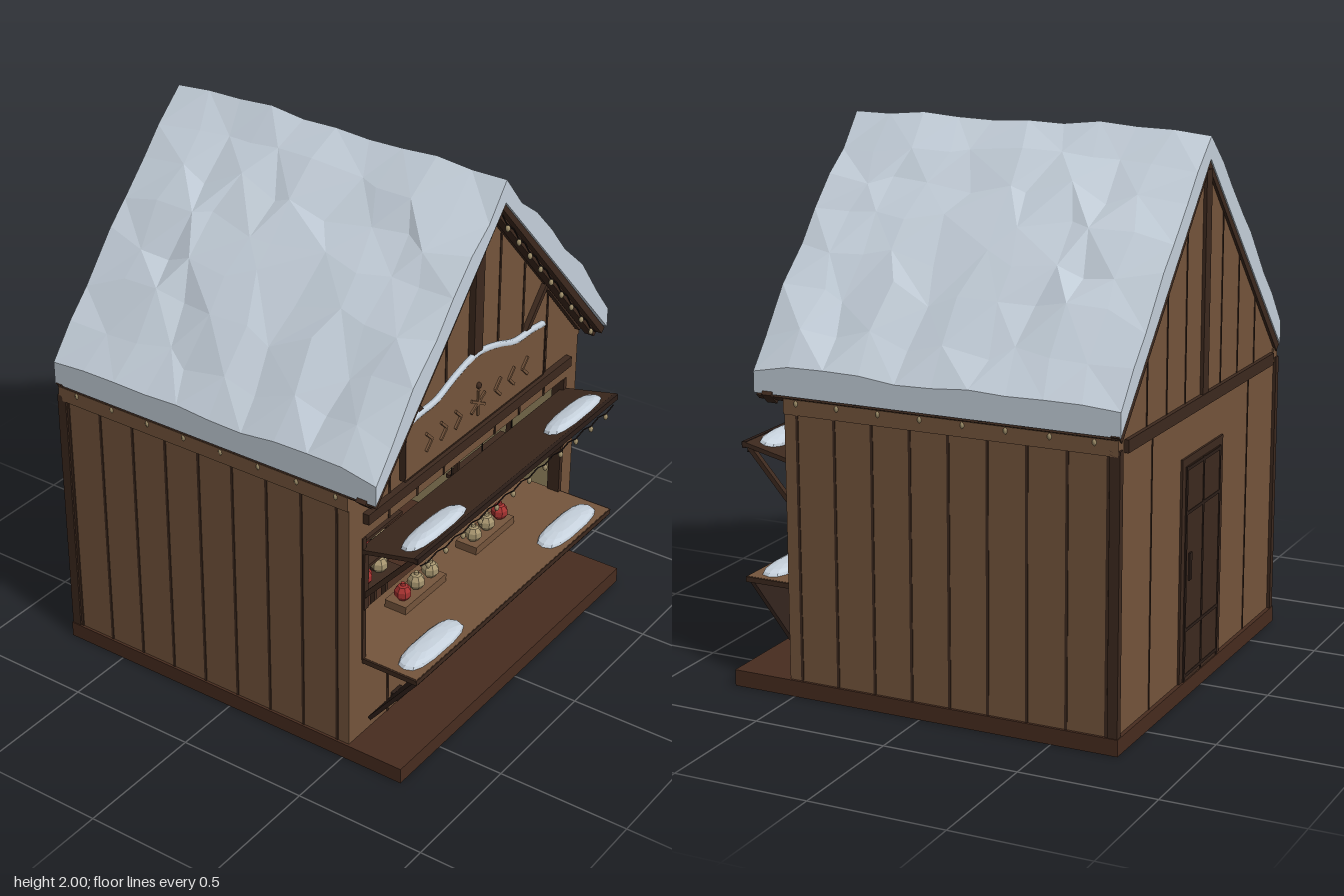
import * as THREE from 'three';

const mat = (name, color, side = THREE.FrontSide) => new THREE.MeshStandardMaterial({ name, color, side });

export function createModel() {
  const root = new THREE.Group();
  root.name = 'marketStall';
  const M = {
    wall: mat('woodBrown', 0x75553c), trim: mat('darkWood', 0x3d291e), black: mat('blackWood', 0x2c1e18),
    base: mat('baseWood', 0x472c1f), cream: mat('creamPanel', 0x9d8e65), red: mat('red', 0xa53230),
    gold: mat('paleGold', 0xa6956f), snow: mat('snow', 0xc6d1dc), wire: mat('wire', 0x1d1513),
  };
  const add = (name, geo, m, x = 0, y = 0, z = 0) => {
    const mesh = new THREE.Mesh(geo, m);
    mesh.name = name;
    mesh.position.set(x, y, z);
    root.add(mesh);
    return mesh;
  };
  // box given by its limits
  const box = (name, m, x0, x1, y0, y1, z0, z1) =>
    add(name, new THREE.BoxGeometry(x1 - x0, y1 - y0, z1 - z0), m, (x0 + x1) / 2, (y0 + y1) / 2, (z0 + z1) / 2);
  // straight bar between two points
  const bar = (name, m, a, b, w, h) => {
    const A = new THREE.Vector3(...a), B = new THREE.Vector3(...b);
    const mesh = add(name, new THREE.BoxGeometry(w, h, A.distanceTo(B)), m, ...A.clone().add(B).multiplyScalar(0.5).toArray());
    mesh.lookAt(B);
    return mesh;
  };
  const flat = (geo) => {
    const g = geo.index ? geo.toNonIndexed() : geo;
    g.computeVertexNormals();
    return g;
  };
  const rnd = (a, b) => {
    const v = Math.sin(a * 127.1 + b * 311.7) * 43758.5453;
    return v - Math.floor(v) - 0.5;
  };
  const roofY = (x) => 1.06 + (0.735 - Math.abs(x)) * 1.1;

  // base and floor
  box('base', M.base, -0.745, 0.745, 0, 0.06, -0.745, 0.745);

  // gable walls; the front one has the serving hatch
  const gable = (hatch) => {
    const s = new THREE.Shape();
    [[-0.735, 0.06], [0.735, 0.06], [0.735, 1.06], [0, 1.87], [-0.735, 1.06]].forEach(([x, y], i) => i ? s.lineTo(x, y) : s.moveTo(x, y));
    if (hatch) {
      const h = new THREE.Path();
      h.moveTo(-0.65, 0.38).lineTo(-0.65, 0.88).lineTo(0.65, 0.88).lineTo(0.65, 0.38);
      s.holes.push(h);
    }
    return new THREE.ExtrudeGeometry(s, { depth: 0.04, bevelEnabled: false });
  };
  add('frontWall', gable(true), M.wall, 0, 0, 0.48);
  add('backWall', gable(false), M.wall, 0, 0, -0.73);
  box('backLining', M.cream, -0.69, 0.69, 0.06, 1.03, -0.689, -0.684);
  box('innerDoor', M.base, -0.17, 0.17, 0.06, 0.84, -0.684, -0.676);

  // side walls with plank grooves, lining and eave bands
  for (const s of [-1, 1]) {
    const side = (name, m, a, b, y0, y1, z0, z1) => box(name, m, Math.min(s * a, s * b), Math.max(s * a, s * b), y0, y1, z0, z1);
    side('sideWall', M.wall, 0.695, 0.735, 0.06, 1.06, -0.7, 0.5);
    side('sideLining', M.cream, 0.689, 0.695, 0.06, 1.03, -0.684, 0.48);
    side('eaveBand', M.wall, 0.7, 0.742, 1.03, 1.085, -0.735, 0.52);
    side('rearCornerPost', M.trim, 0.715, 0.742, 0.06, 1.05, -0.742, -0.705);
    for (let i = 0; i < 9; i++) side('sideGroove', M.trim, 0.733, 0.738, 0.06, 1.03, 0.465 - i * 0.146, 0.475 - i * 0.146);
    // gable plank grooves, front and back
    for (const x of [0.165, 0.33, 0.5]) {
      side('frontGroove', M.trim, x - 0.005, x + 0.005, 0.88, roofY(x), 0.518, 0.523);
      side('frontGroove', M.trim, x - 0.005, x + 0.005, 0.06, 0.38, 0.518, 0.523);
      side('backGroove', M.trim, x - 0.003, x + 0.003, 1.07, roofY(x), -0.733, -0.728);
    }
    side('backGroove', M.trim, 0.446, 0.452, 0.06, 1.04, -0.733, -0.728);
    // roof boards and barge boards
    bar('roofBoards', M.trim, [0, 1.885, -0.055], [s * 0.735, 1.08, -0.055], 1.36, 0.025);
    bar('frontBarge', M.trim, [0, 1.885, 0.58], [s * 0.735, 1.075, 0.58], 0.04, 0.055);
    bar('backBarge', M.trim, [0, 1.89, -0.725], [s * 0.735, 1.085, -0.725], 0.03, 0.035);
    bar('gableBrace', M.trim, [s * 0.33, 1.22, 0.53], [s * 0.46, 1.36, 0.53], 0.02, 0.02);
    bar('gableBrace', M.trim, [s * 0.46, 1.35, 0.54], [s * 0.7, 1.08, 0.54], 0.02, 0.015);
  }

  // king posts and cross beams
  box('frontKingPost', M.trim, -0.027, 0.027, 1.25, 1.86, 0.515, 0.545);
  box('backKingPost', M.trim, -0.025, 0.025, 1.07, 1.86, -0.742, -0.725);
  box('backTieBeam', M.trim, -0.68, 0.68, 1.03, 1.075, -0.745, -0.72);
  box('frontBeam', M.trim, -0.655, 0.655, 0.94, 0.98, 0.515, 0.545);

  // back door
  box('doorFrame', M.trim, -0.19, 0.19, 0.06, 0.88, -0.738, -0.725);
  box('door', M.trim, -0.16, 0.16, 0.06, 0.85, -0.741, -0.73);
  for (const x of [-0.155, 0, 0.155]) box('doorStile', M.black, x - 0.006, x + 0.006, 0.06, 0.85, -0.743, -0.738);
  for (const y of [0.08, 0.25, 0.68, 0.84]) box('doorRail', M.black, -0.16, 0.16, y - 0.006, y + 0.006, -0.743, -0.738);
  box('doorHandle', M.black, 0.11, 0.13, 0.43, 0.53, -0.747, -0.74);

  // snow blanket: faceted cross-sections lofted along z, mirrored about the ridge
  const H = 8, N = 2 * H + 1, R = 10, pos = [], idx = [];
  for (let j = 0; j <= R; j++) for (let layer = 0; layer < 2; layer++) for (let k = 0; k < N; k++) {
    const s = k <= H ? -1 : 1, m = Math.min(k, 2 * H - k), inner = m > 1 && m < H, midZ = j > 0 && j < R;
    let z = -0.745 + 1.38 * j / R, t = Math.max(0, (m - 1) / (H - 1));
    if (inner && midZ) z += rnd(m, j) * 0.09;
    if (inner) t += rnd(m + 20, j) * 0.06;
    const x = s * 0.745 * (1 - t), drop = midZ ? 0 : 0.015;
    let y = 1.19 - drop + 0.795 * t + 0.03 * Math.sin(Math.PI * t) + rnd(m + 40, j) * (inner ? 0.045 : 0.02);
    if (m === H) y = j === 3 ? 2 : 1.985 - drop + rnd(3, j) * 0.02;
    if (layer || m === 0) y = 1.095 + 0.8 * t;
    pos.push(x, y, z);
  }
  const at = (j, layer, k) => (j * 2 + layer) * N + k;
  for (let k = 0; k < N - 1; k++) {
    for (let j = 0; j < R; j++) {
      const [a, b, c, d] = [at(j, 0, k), at(j, 0, k + 1), at(j + 1, 0, k + 1), at(j + 1, 0, k)];
      if ((k < H) === ((j + Math.min(k, 2 * H - 1 - k)) % 2 === 0)) idx.push(a, d, b, b, d, c); else idx.push(a, d, c, a, c, b);
      const [e, f, g, h] = [a + N, b + N, c + N, d + N];
      idx.push(e, f, h, f, g, h);
    }
    const o = at(R, 0, k), q = at(0, 0, k);
    idx.push(o, o + N, o + 1, o + 1, o + N, o + N + 1, q, q + 1, q + N, q + 1, q + N + 1, q + N);
  }
  const snowGeo = new THREE.BufferGeometry();
  snowGeo.setAttribute('position', new THREE.Float32BufferAttribute(pos, 3));
  snowGeo.setIndex(idx);
  add('roofSnow', flat(snowGeo), M.snow);

  // sign board with a wavy top, a snow rim and carved ornaments
  const wave = [[0.445, 1.205], [0.36, 1.215], [0.25, 1.22], [0.13, 1.26], [0, 1.285]];
  const top = [...wave, ...wave.slice(0, -1).reverse().map(([x, y]) => [-x, y])];
  const sign = new THREE.Shape();
  sign.moveTo(-0.445, 1.005).lineTo(0.445, 1.005).lineTo(...top[0]);
  sign.splineThru(top.slice(1).map((p) => new THREE.Vector2(...p)));
  add('signBoard', new THREE.ExtrudeGeometry(sign, { depth: 0.022, bevelEnabled: false }), M.wall, 0, 0, 0.525);
  const rim = new THREE.CatmullRomCurve3(top.map(([x, y]) => new THREE.Vector3(x, y, 0)));
  add('signSnow', new THREE.TubeGeometry(rim, 30, 0.013, 6), M.snow, 0, 0.006, 0.537);
  for (const s of [-1, 1]) {
    box('signEdge', M.trim, s * 0.445 - 0.003, s * 0.445 + 0.003, 1.005, 1.205, 0.525, 0.549);
    for (const x of [0.11, 0.2, 0.29]) for (const d of [-1, 1])
      bar('signChevron', M.wall, [s * x, 1.1, 0.549], [s * (x + 0.035), 1.1 + d * 0.035, 0.549], 0.012, 0.01);
  }
  for (let i = 0; i < 3; i++) {
    const c = 0.05 * Math.cos(i * Math.PI / 3), d = 0.05 * Math.sin(i * Math.PI / 3);
    bar('signStar', M.wall, [-d, 1.1 - c, 0.549], [d, 1.1 + c, 0.549], 0.01, 0.01);
  }
  box('signEdge', M.trim, -0.445, 0.445, 1.001, 1.007, 0.525, 0.549);
  add('signKnob', new THREE.SphereGeometry(0.012, 8, 6), M.trim, 0, 1.17, 0.55);

  // counter, folding front panel, awning and struts
  box('counter', M.wall, -0.65, 0.65, 0.367, 0.384, 0.36, 0.742);
  box('counterEdge', M.trim, -0.655, 0.655, 0.364, 0.383, 0.738, 0.746);
  bar('counterPanel', M.black, [0, 0.36, 0.735], [0, 0.115, 0.535], 1.27, 0.015);
  bar('awning', M.trim, [0, 0.825, 0.51], [0, 0.877, 0.74], 1.32, 0.016);
  box('awningEdge', M.black, -0.66, 0.66, 0.862, 0.885, 0.73, 0.745);
  for (let i = 0; i < 9; i++) bar('awningSlat', M.black, [-0.6 + i * 0.15, 0.812, 0.52], [-0.6 + i * 0.15, 0.862, 0.73], 0.02, 0.012);
  // snow patches: squared-off domes
  const dome = new THREE.SphereGeometry(1, 14, 4, 0, Math.PI * 2, 0, Math.PI / 2);
  const dp = dome.attributes.position;
  for (let i = 0; i < dp.count; i++) dp.setXYZ(i, Math.sign(dp.getX(i)) * Math.abs(dp.getX(i)) ** 0.7, dp.getY(i), Math.sign(dp.getZ(i)) * Math.abs(dp.getZ(i)) ** 0.7);
  const patch = flat(dome);
  for (const s of [-1, 1]) {
    box('counterEnd', M.trim, s * 0.653 - 0.004, s * 0.653 + 0.004, 0.364, 0.383, 0.52, 0.742);
    bar('awningStrut', M.trim, [s * 0.645, 0.865, 0.72], [s * 0.645, 0.64, 0.52], 0.02, 0.018);
    box('strutPlate', M.trim, s * 0.645 - 0.012, s * 0.645 + 0.012, 0.59, 0.82, 0.515, 0.53);
    box('hatchPost', M.trim, s * 0.65 - 0.01, s * 0.65 + 0.01, 0.38, 0.88, 0.475, 0.525);
    box('panelBracket', M.black, s * 0.45 - 0.028, s * 0.45 + 0.028, 0.098, 0.125, 0.52, 0.55);
    const awningSnow = add('awningSnow', patch, M.snow, s * 0.455, 0.868, 0.674);
    awningSnow.scale.set(0.172, 0.03, 0.05);
    awningSnow.rotation.x = -0.22;
    add('counterSnow', patch, M.snow, s * 0.455, 0.383, 0.672).scale.set(0.172, 0.028, 0.055);
  }

  // shelves, trays and boxes
  for (const y of [0.45, 0.57, 0.685]) box('leftShelf', M.trim, -0.62, -0.21, y, y + 0.012, 0.27, 0.38);
  for (const x of [-0.545, -0.285, -0.215]) box('shelfPost', M.trim, x - 0.008, x + 0.008, 0.06, 0.78, 0.3, 0.32);
  box('shelfTop', M.trim, -0.62, -0.21, 0.76, 0.772, 0.29, 0.35);
  box('rightShelf', M.trim, 0.24, 0.62, 0.565, 0.58, 0.27, 0.38);
  box('rightRail', M.trim, 0.24, 0.62, 0.765, 0.775, 0.3, 0.32);
  for (const x of [0.25, 0.615]) box('shelfHanger', M.trim, x - 0.006, x + 0.006, 0.57, 0.88, 0.3, 0.32);
  for (const s of [-1, 1]) box('counterTray', M.wall, s * 0.23 - 0.13, s * 0.23 + 0.13, 0.383, 0.415, 0.41, 0.5);
  for (const x of [-0.47, -0.28, 0.335, 0.47]) box('redBox', M.red, x - 0.05, x + 0.05, 0.4, 0.51, -0.675, -0.6);
  box('backShelf', M.trim, -0.6, -0.2, 0.385, 0.4, -0.684, -0.58);
  box('backShelf', M.trim, 0.2, 0.6, 0.385, 0.4, -0.684, -0.58);
  for (const x of [-0.34, 0.33]) box('woodBox', M.wall, x - 0.045, x + 0.045, 0.58, 0.71, -0.684, -0.62);
  box('creamBox', M.cream, 0.4, 0.6, 0.57, 0.65, -0.684, -0.62);

  // baubles
  const ball = flat(new THREE.SphereGeometry(0.033, 7, 5)), cap = new THREE.CylinderGeometry(0.008, 0.01, 0.012, 6);
  const bauble = (m, x, y, z) => {
    add('bauble', ball, m, x, y, z);
    add('baubleCap', cap, m, x, y + 0.034, z);
  };
  for (const [i, x] of [-0.475, -0.375, -0.28].entries()) for (const [j, y] of [0.492, 0.612, 0.73].entries())
    if (i !== 1 || j < 2) bauble((i === 1 || (i === 0 && j === 2)) ? M.red : M.gold, x, y, 0.33);
  for (const x of [-0.32, -0.235, -0.145, 0.14, 0.23, 0.32]) bauble(Math.abs(x) === 0.32 ? M.red : M.gold, x, 0.445, 0.46);
  for (const [m, x, y] of [[M.red, 0.075, 0.645], [M.gold, 0.28, 0.585], [M.gold, 0.485, 0.63]]) {
    bauble(m, x, y, 0.4);
    box('baubleString', M.wire, x - 0.002, x + 0.002, y + 0.03, 0.85, 0.398, 0.402);
  }

  // light strings along awning, gable and eaves
  const bulb = new THREE.SphereGeometry(0.009, 6, 5);
  const lights = (a, b, n) => {
    const A = new THREE.Vector3(...a), B = new THREE.Vector3(...b), pts = [];
    for (let i = 0; i <= 2 * n; i++) {
      const p = A.clone().lerp(B, i / (2 * n));
      if (i % 2) p.y -= 0.012;
      pts.push(p);
      if (i % 2) add('bulb', bulb, M.gold, p.x, p.y - 0.012, p.z).scale.y = 1.5;
    }
    add('lightWire', new THREE.TubeGeometry(new THREE.CatmullRomCurve3(pts), 4 * n, 0.003, 4), M.wire);
  };
  lights([-0.64, 0.845, 0.738], [0.64, 0.845, 0.738], 12);
  for (const s of [-1, 1]) {
    lights([s * 0.03, 1.83, 0.603], [s * 0.72, 1.075, 0.603], 9);
    lights([s * 0.738, 1.095, 0.55], [s * 0.738, 1.095, -0.73], 8);
  }

  return root;
}
